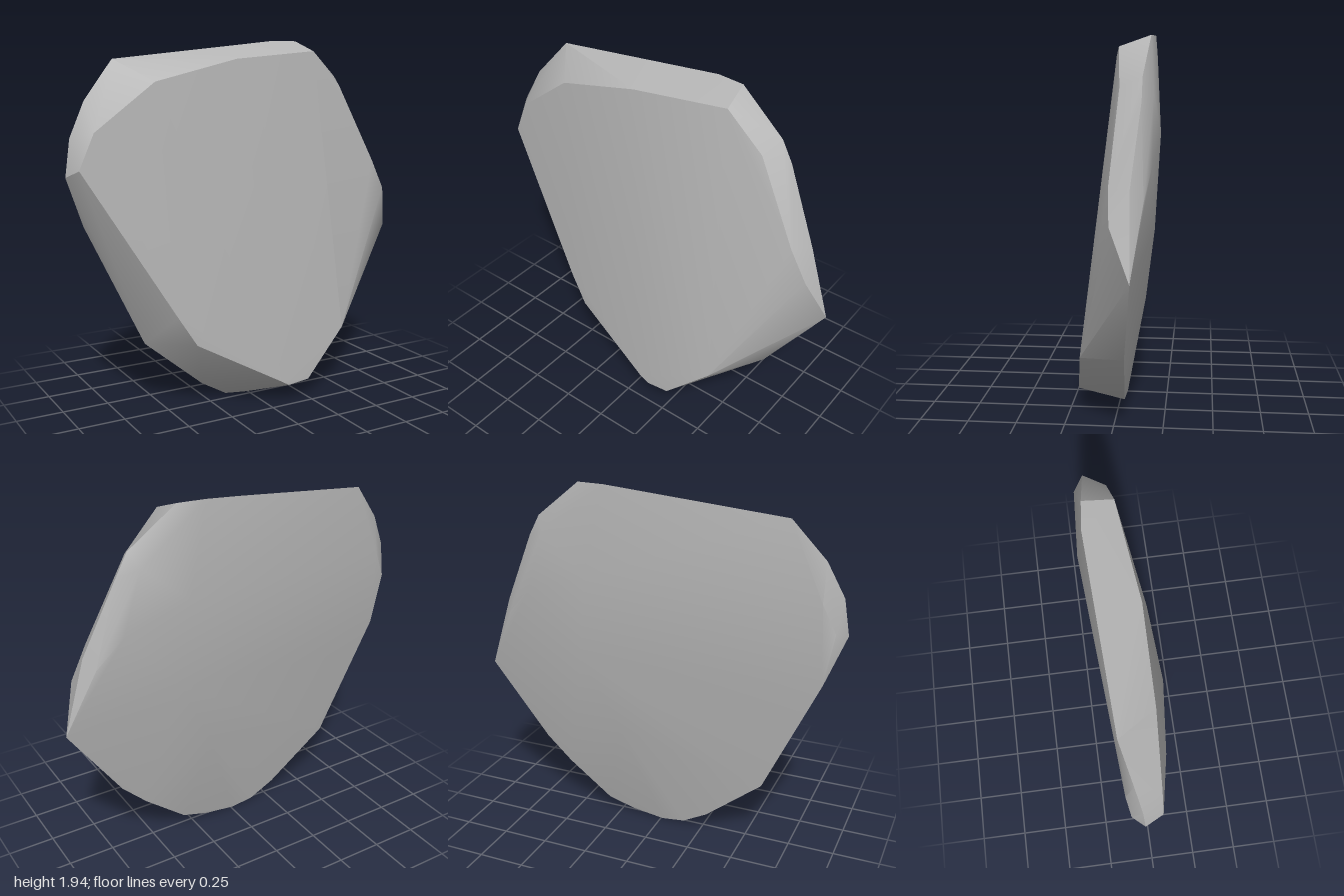
import * as THREE from 'three';
import { ConvexGeometry } from 'three/addons/geometries/ConvexGeometry.js';
import { toCreasedNormals } from 'three/addons/utils/BufferGeometryUtils.js';

// Rim of the broad front face
const frontRim = [
  [-0.56, 1.74, 0.04], [-0.1, 1.85, 0.04], [0.41, 1.89, -0.02], [0.6, 1.7, -0.04],
  [0.82, 1.27, -0.01], [0.91, 1.1, -0.02], [0.5, 0.36, 0.17], [0.25, 0.11, 0.21],
  [0.12, 0.1, 0.217], [0.07, 0.13, 0.22], [-0.4, 0.39, 0.155], [-0.5, 0.55, 0.14],
  [-0.96, 1.32, 0.03], [-0.88, 1.5, 0.03],
];
// Widest outline, where the bevels meet the back
const outline = [
  [-0.71, 1.85, -0.15], [0.24, 1.945, -0.19], [0.39, 1.945, -0.175], [0.64, 1.75, -0.15],
  [0.7, 1.64, -0.15], [0.88, 1.25, -0.11], [1, 0.86, -0.12], [0.7, 0.42, -0.07],
  [0.56, 0.28, -0.06], [0.32, 0.08, -0.04], [0.17, 0.03, -0.03], [-0.01, 0.005, -0.03],
  [-0.14, 0.02, -0.03], [-0.28, 0.1, -0.04], [-0.6, 0.37, -0.07], [-0.82, 0.85, -0.1],
  [-0.9, 1.02, -0.11], [-1, 1.28, -0.06], [-0.97, 1.47, -0.07], [-0.88, 1.65, -0.1],
];
// Shallow swelling of the back
const back = [
  [0.35, 1.47, -0.222], [0.7, 1.35, -0.2], [0.6, 1.67, -0.2], [0.4, 1, -0.197],
  [0.2, 0.6, -0.142], [-0.88, 1.45, -0.14], [-0.95, 1.3, -0.12], [0.84, 1.2, -0.17],
];

export function createModel() {
  const model = new THREE.Group();
  model.name = 'flatStone';
  const stone = new THREE.MeshStandardMaterial({ color: 0xb4b4b4 });
  stone.name = 'stone grey';

  // One chipped slab, softly shaded with crisp main edges
  const points = [...frontRim, ...outline, ...back].map((p) => new THREE.Vector3(...p));
  const slab = new THREE.Mesh(toCreasedNormals(new ConvexGeometry(points), 0.55), stone);
  slab.name = 'stoneSlab';
  model.add(slab);
  return model;
}
